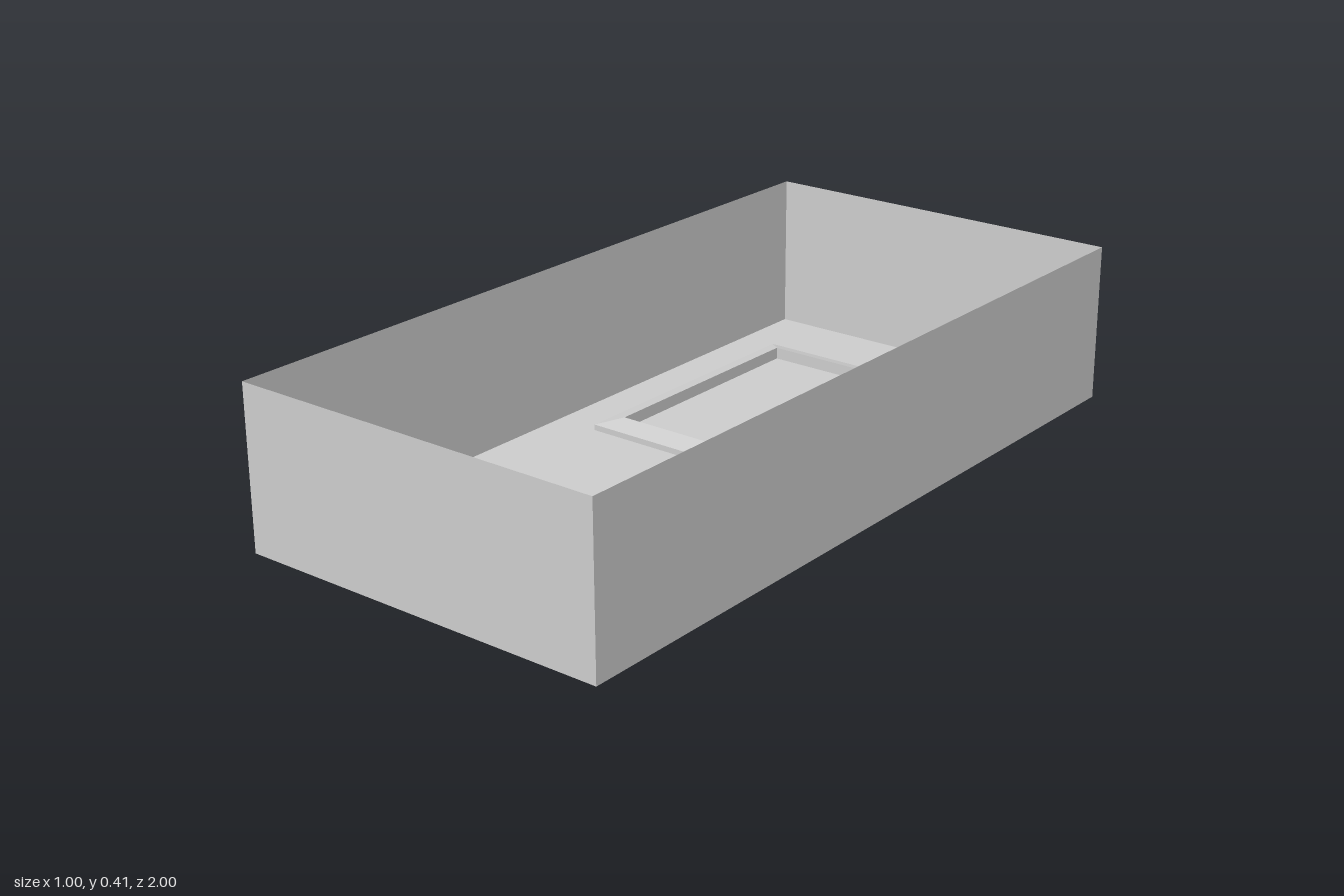
import * as THREE from 'three';

const W = 1, H = 0.411, D = 2;

export function createModel() {
  const model = new THREE.Group();
  const sheet = new THREE.MeshStandardMaterial({ color: 0xcccccc, side: THREE.DoubleSide });
  const flat = new THREE.MeshStandardMaterial({ color: 0xcccccc, flatShading: true, side: THREE.DoubleSide });

  const add = (name, geometry, material) => {
    const mesh = new THREE.Mesh(geometry, material);
    mesh.name = name;
    model.add(mesh);
    return mesh;
  };

  // Thin floor of the open tray
  add('floor', new THREE.PlaneGeometry(W, D).rotateX(-Math.PI / 2), sheet);

  // Four thin walls, facing outward
  const walls = [
    ['frontWall', W, D / 2, 0],
    ['leftWall', D, W / 2, Math.PI / 2],
    ['backWall', W, D / 2, Math.PI],
    ['rightWall', D, W / 2, -Math.PI / 2],
  ];
  for (const [name, width, distance, angle] of walls) {
    add(name, new THREE.PlaneGeometry(width, H).translate(0, H / 2, distance).rotateY(angle), sheet);
  }

  // Square raised frame: mitred strips that slope up to the inner edge
  const frameProfile = [[0.379, 0], [0.379, 0.015], [0.325, 0.031], [0.325, 0]]
    .map(([half, y]) => new THREE.Vector2(half * Math.SQRT2, y));
  const frame = add('squareFrame', new THREE.LatheGeometry(frameProfile, 4, Math.PI / 4), flat);
  frame.position.z = -0.398;

  // Low round pad with a narrow bevelled rim
  const padHeight = 0.01;
  const pad = add('roundPad', new THREE.CylinderGeometry(0.252, 0.259, padHeight, 64), sheet);
  pad.position.set(0, padHeight / 2 + 0.0005, 0.497);

  return model;
}
